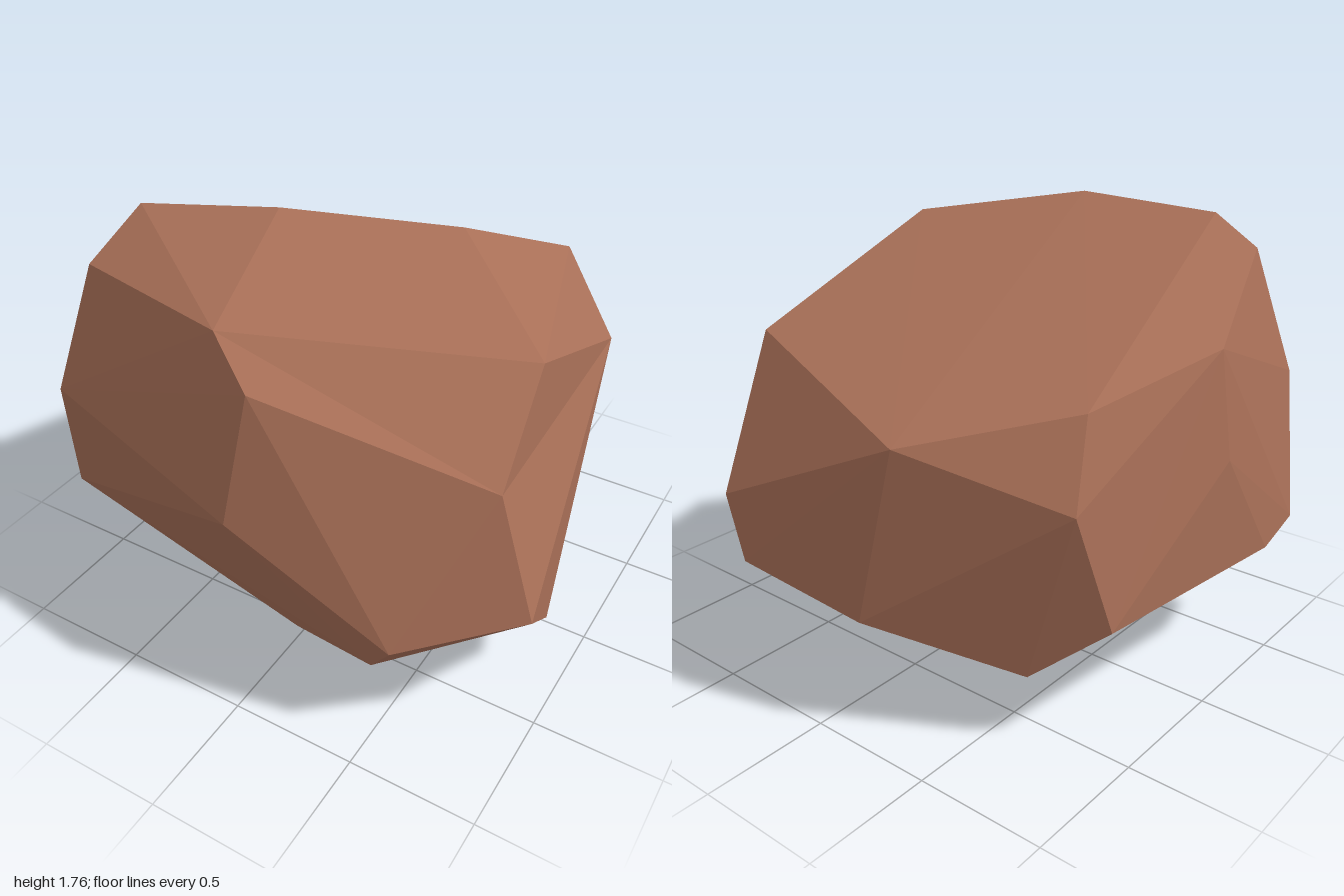
import * as THREE from 'three';
import { ConvexGeometry } from 'three/addons/geometries/ConvexGeometry.js';

const stone = new THREE.MeshStandardMaterial({ color: 0xa86f57 });
stone.name = 'reddish brown stone';

// Corners of the boulder, ring by ring
const crown = [
  [-0.655, 1.72, 0.485], [-0.16, 1.765, 0.345], [0.375, 1.68, 0.005],
  [0.505, 1.325, -0.71], [-0.295, 1.115, -0.89], [-0.77, 1.23, -0.475],
];
const shoulder = [
  [0.79, 1.37, 0.205], [0.79, 1.09, -0.505], [-0.915, 1.33, 0.125],
  [-0.725, 1.56, 0.705], [-0.09, 1.555, 0.835], [0.075, 1.405, 0.905],
];
const girth = [
  [0.015, 0.915, 1.0], [-0.85, 1.06, 0.825], [-0.965, 0.92, 0.14],
  [-0.83, 0.93, -0.61], [0.46, 0.775, -0.985], [0.985, 0.605, 0.6],
];
const foot = [
  [0.58, 0.475, 0.865], [-0.97, 0.5, 0.7], [-0.985, 0.455, 0.46],
  [-0.905, 0.485, -0.49], [-0.16, 0.45, -0.935], [0.36, 0.54, -1.0],
];
const underside = [
  [0.915, 0.285, 0.245], [0.43, 0.215, 0.735], [0.01, 0.075, 0.6],
  [-0.17, 0.0, 0.08], [-0.38, 0.05, -0.12], [-0.65, 0.275, -0.62],
  [0.65, 0.225, -0.285],
];

// Hollows: a corner that shapes the hull, and where it is then pressed in to
const dents = [
  { hull: [0.91, 1.07, 0.62], final: [0.815, 1.05, 0.54] },
  { hull: [0.22, 0.1, -0.23], final: [0.2, 0.14, -0.2] },
];

export function createModel() {
  const group = new THREE.Group();
  group.name = 'boulder';

  const corners = [...crown, ...shoulder, ...girth, ...foot, ...underside, ...dents.map((d) => d.hull)];
  const geometry = new ConvexGeometry(corners.map((p) => new THREE.Vector3(...p)));

  // Press the hollows into the faceted hull
  const pos = geometry.attributes.position;
  const v = new THREE.Vector3();
  for (let i = 0; i < pos.count; i++) {
    v.fromBufferAttribute(pos, i);
    for (const d of dents) {
      if (v.distanceTo(new THREE.Vector3(...d.hull)) < 1e-4) pos.setXYZ(i, ...d.final);
    }
  }
  geometry.computeVertexNormals();

  const rock = new THREE.Mesh(geometry, stone);
  rock.name = 'rock';
  group.add(rock);
  return group;
}
